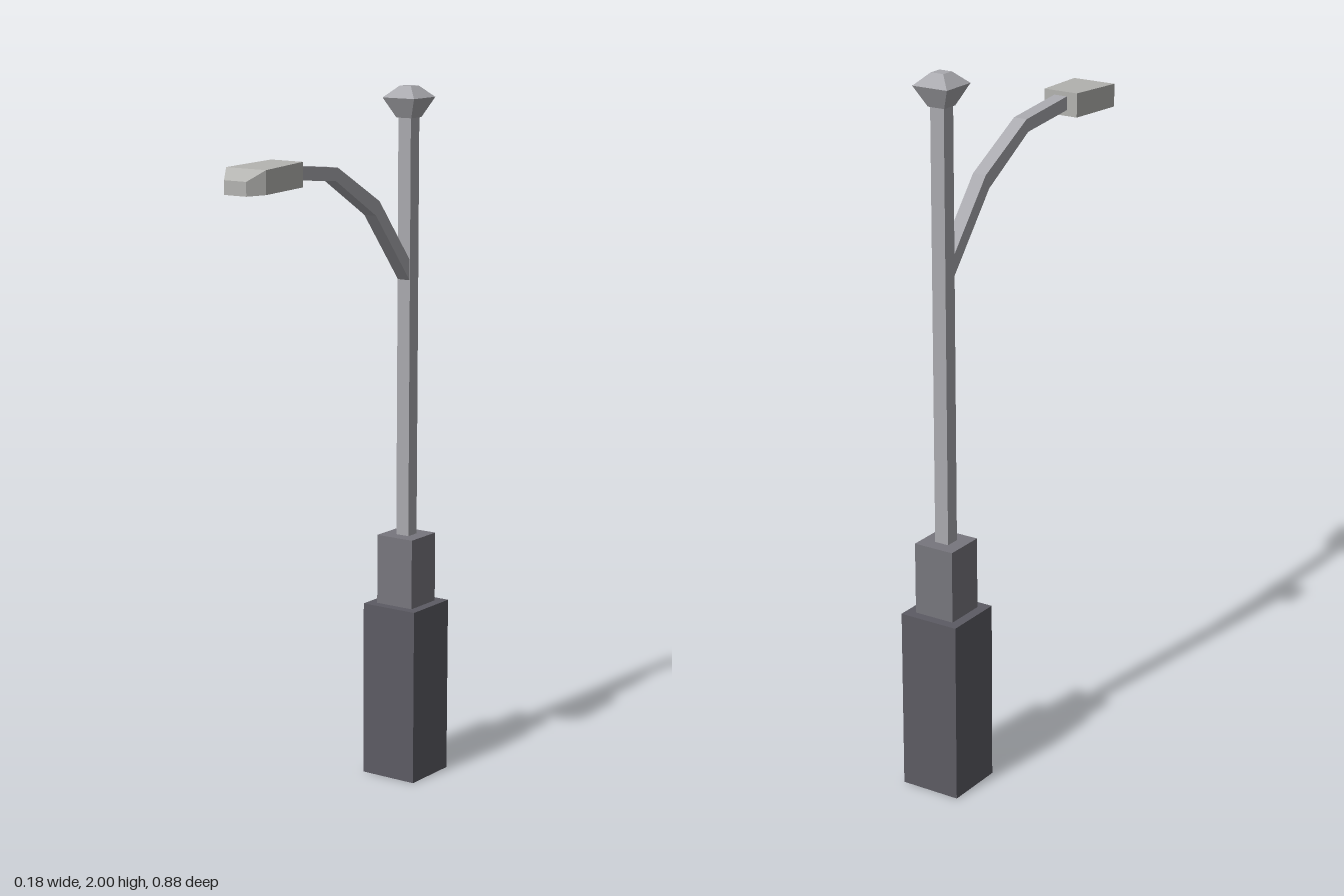
import * as THREE from 'three';

const mat = (color) => new THREE.MeshStandardMaterial({ color, flatShading: true });

// Skin four-cornered rings into a closed solid; corners run counter-clockwise about the direction of travel
function loft(rings) {
  const pos = [];
  const quad = (a, b, c, d) => pos.push(...a, ...b, ...c, ...a, ...c, ...d);
  for (let r = 0; r < rings.length - 1; r++) {
    const [p, q] = [rings[r], rings[r + 1]];
    for (let i = 0; i < 4; i++) {
      const j = (i + 1) % 4;
      quad(p[i], p[j], q[j], q[i]);
    }
  }
  const first = rings[0], last = rings[rings.length - 1];
  quad(first[3], first[2], first[1], first[0]);
  quad(...last);
  const g = new THREE.BufferGeometry();
  g.setAttribute('position', new THREE.Float32BufferAttribute(pos, 3));
  g.computeVertexNormals();
  return g;
}

// Level square ring around the pole axis
const square = (h, y) => [[h, y, h], [h, y, -h], [-h, y, -h], [-h, y, h]];

// Cross-section facing +z, given its half width and its bottom and top points in (z, y)
const section = (w, [zb, yb], [zt, yt]) => [[-w, yb, zb], [w, yb, zb], [w, yt, zt], [-w, yt, zt]];

export function createModel() {
  const group = new THREE.Group();
  const poleZ = -0.35;
  const steel = mat(0xa9a9ae);

  const add = (name, geometry, material, z = 0) => {
    const mesh = new THREE.Mesh(geometry, material);
    mesh.name = name;
    mesh.position.z = z;
    group.add(mesh);
  };
  const block = (name, half, y0, y1, material) => {
    const g = new THREE.BoxGeometry(half * 2, y1 - y0, half * 2).translate(0, (y0 + y1) / 2, 0);
    add(name, g, material, poleZ);
  };

  // Stepped base and pole
  block('base', 0.088, 0, 0.512, mat(0x5c5b63));
  block('collar', 0.06, 0.512, 0.715, mat(0x77767d));
  block('pole', 0.021, 0.715, 1.915, steel);

  // Flared cap on top of the pole
  add('poleCap', loft([square(0.025, 1.912), square(0.053, 1.968), square(0.019, 2)]), steel, poleZ);

  // Bent arm reaching forward
  add('arm', loft([
    section(0.02, [-0.332, 1.454], [-0.332, 1.512]),
    section(0.02, [-0.164, 1.656], [-0.18, 1.695]),
    section(0.02, [0.024, 1.768], [0.016, 1.804]),
    section(0.02, [0.222, 1.788], [0.222, 1.826]),
  ]), steel);

  // Lamp head, widening forward and then tapering to a blunt nose
  add('lampHead', loft([
    section(0.052, [0.217, 1.771], [0.217, 1.838]),
    section(0.065, [0.392, 1.768], [0.392, 1.832]),
    section(0.036, [0.438, 1.766], [0.438, 1.804]),
  ]), mat(0xb3b3b0));

  return group;
}
